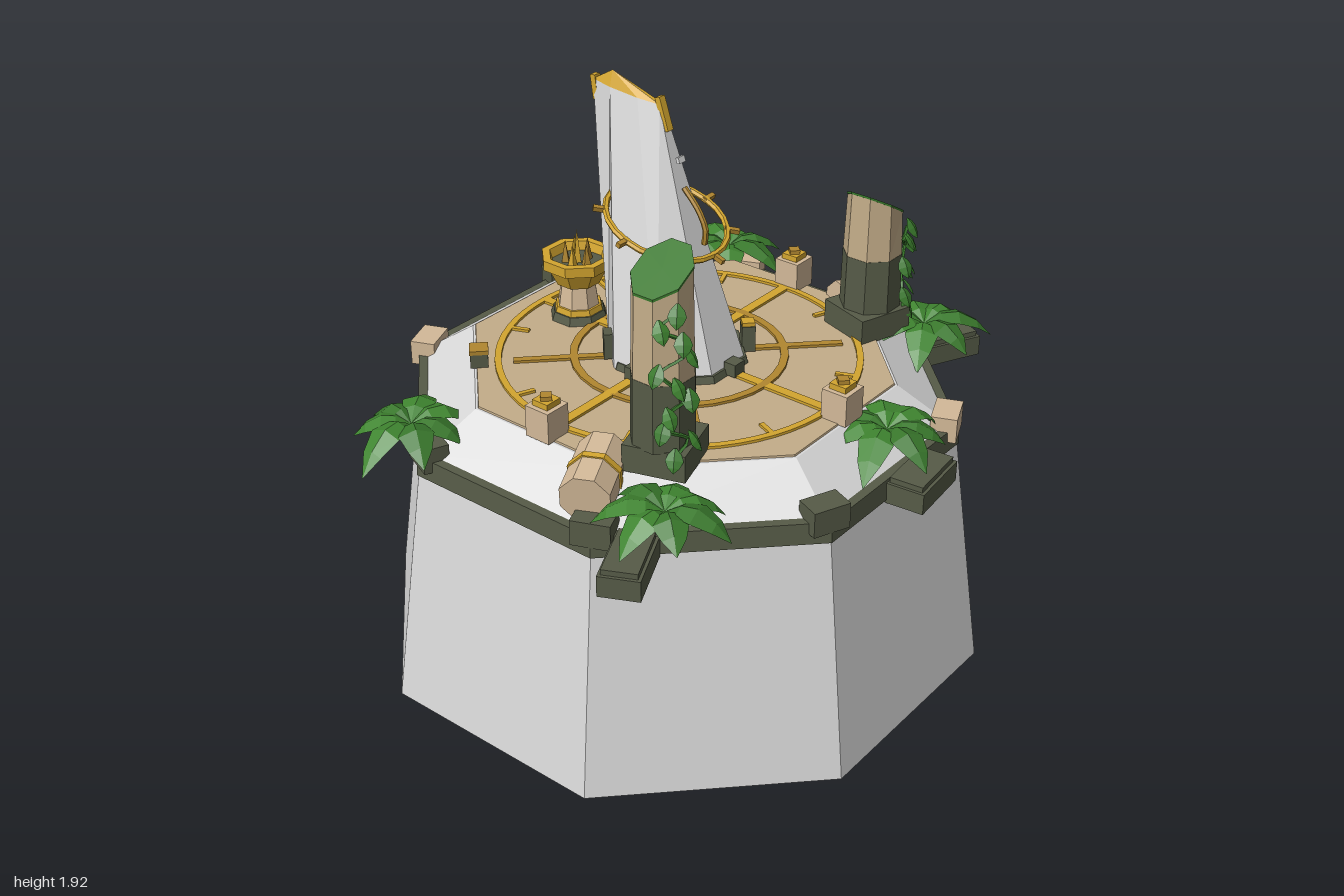
import * as THREE from 'three';

const mat = (name, color, double = false) => {
  const m = new THREE.MeshStandardMaterial({ color, flatShading: true });
  m.name = name;
  if (double) m.side = THREE.DoubleSide;
  return m;
};

export function createModel() {
  const stone = mat('pale stone', 0xd9d9d9);
  const dark = mat('mossy dark stone', 0x565b47);
  const paving = mat('paving sandstone', 0xc4ad89);
  const sand = mat('light sandstone', 0xd3b998);
  const gold = mat('gold', 0xd3a52f);
  const oldGold = mat('dark gold', 0xb18730);
  const green = mat('leaf green', 0x3f8530, true);
  const moss = mat('moss', 0x39782c, true);

  const model = new THREE.Group();
  const root = new THREE.Group();
  root.name = 'sundialMonument';
  root.position.set(0.018, 0, -0.015);
  model.add(root);

  const add = (name, geo, material, x = 0, y = 0, z = 0, ry = 0, parent = root) => {
    const m = new THREE.Mesh(geo, material);
    m.name = name;
    m.position.set(x, y, z);
    m.rotation.y = ry;
    parent.add(m);
    return m;
  };
  const box = (w, h, d) => new THREE.BoxGeometry(w, h, d);
  // Eight-sided drum with flats facing the axes, from y0 to y1
  const oct = (rb, rt, y0, y1) => new THREE.CylinderGeometry(rt, rb, y1 - y0, 8)
    .rotateY(Math.PI / 8).translate(0, (y0 + y1) / 2, 0);
  const polar = (r, a) => [r * Math.sin(a), r * Math.cos(a)];

  // Plinth, rim, slope and paved terrace
  add('plinth', oct(1.045, 0.925, 0, 0.82), [stone, stone, dark]);
  add('rim', oct(0.93, 0.925, 0.82, 0.89), dark);
  add('slope', oct(0.9, 0.722, 0.885, 1.0), stone);
  add('terrace', oct(0.716, 0.712, 0.99, 1.006), paving);

  // Inlaid dial: rings, spokes and hour ticks
  const flatRing = (r, w, n) => {
    const s = new THREE.Shape().absarc(0, 0, r + w / 2, 0, Math.PI * 2);
    s.holes.push(new THREE.Path().absarc(0, 0, r - w / 2, 0, Math.PI * 2, true));
    return new THREE.ExtrudeGeometry(s, { depth: 0.009, bevelEnabled: false, curveSegments: n })
      .rotateX(-Math.PI / 2);
  };
  add('outerRing', flatRing(0.59, 0.022, 32), gold, 0, 1.006);
  add('innerRing', flatRing(0.345, 0.026, 16), oldGold, 0, 1.006);
  for (let i = 0; i < 16; i++) {
    const a = i * Math.PI / 8;
    const [r0, r1, w, m] = i % 4 === 0 ? [0.1, 0.59, 0.034, gold]
      : i % 2 === 0 ? [0.15, 0.54, 0.026, oldGold] : [0.52, 0.58, 0.016, gold];
    const [x, z] = polar((r0 + r1) / 2, a);
    add(i % 2 ? 'hourTick' : 'spoke', box(w, 0.009, r1 - r0), m, x, 1.0105, z, a);
  }

  // Leaning blade: octagon foot narrowing to a thin ridge, with a gold cap
  const foot = [], head = [];
  for (let i = 0; i < 8; i++) {
    const [x, z] = polar(1, Math.PI / 8 + i * Math.PI / 4);
    foot.push([x * 0.228, 1.0, z * 0.238 - 0.01]);
    head.push([x * 0.022, 1.865 - z * 0.012, z * 0.145 - 0.205]);
  }
  const loft = (lower, upper) => {
    const p = [];
    lower.forEach((a, i) => {
      const j = (i + 1) % 8, b = lower[j], c = upper[j], d = upper[i];
      p.push(...a, ...b, ...c, ...a, ...c, ...d);
    });
    const g = new THREE.BufferGeometry();
    g.setAttribute('position', new THREE.Float32BufferAttribute(p, 3));
    g.computeVertexNormals();
    return g;
  };
  add('blade', loft(foot, head), stone);
  add('bladeCap', loft(head, head.map(() => [0, 1.92, -0.265])), gold);
  add('bladeFrontTrim', box(0.026, 0.11, 0.02), gold, 0, 1.825, -0.06).rotation.x = -0.32;
  add('bladeBackTrim', box(0.026, 0.08, 0.02), gold, 0, 1.85, -0.333).rotation.x = -0.14;
  add('bladeMark', box(0.03, 0.02, 0.012), stone, 0, 1.69, 0.005).rotation.x = -0.32;

  // Tilted hoop with pegs, and the pointer on the blade's front
  const hoop = new THREE.Group();
  hoop.name = 'hoop';
  hoop.position.set(0, 1.47, -0.05);
  hoop.rotation.x = 0.34;
  root.add(hoop);
  add('hoopRing', new THREE.TorusGeometry(0.2, 0.011, 6, 24).rotateX(Math.PI / 2), gold, 0, 0, 0, 0, hoop);
  for (let i = 0; i < 8; i++) {
    const a = i * Math.PI / 4, [x, z] = polar(0.215, a);
    add('hoopPeg', box(0.016, 0.016, 0.05), oldGold, x, 0, z, a, hoop);
  }
  const arc = new THREE.CatmullRomCurve3([[1.43, 0.1], [1.48, 0.105], [1.54, 0.075], [1.6, 0.02]]
    .map(([y, z]) => new THREE.Vector3(0, y, z)));
  add('pointer', new THREE.TubeGeometry(arc, 8, 0.01, 6), oldGold);

  // Stones around the blade's foot, gold-capped at the corners
  add('footCollar', oct(0.235, 0.225, 1.0, 1.03), dark);
  for (let i = 0; i < 8; i++) {
    const a = i * Math.PI / 4, [x, z] = polar(0.225, a);
    const h = i % 2 ? 0.09 : 0.045;
    add('footStone', box(0.05, h, 0.045), dark, x, 1.01 + h / 2, z, a);
    if (i === 1 || i === 7) add('footStoneCap', box(0.042, 0.015, 0.042), gold, x, 1.106, z, a);
  }

  // Marker posts around the dial
  for (const a of [0, Math.PI / 2, -Math.PI / 2]) {
    const [x, z] = polar(0.64, a);
    add('post', box(0.092, 0.105, 0.092), sand, x, 1.055, z, a);
    add('postCap', box(0.06, 0.02, 0.06), gold, x, 1.117, z, a);
    add('postGem', box(0.035, 0.018, 0.035), oldGold, x, 1.132, z, a + Math.PI / 4);
  }
  for (const a of [Math.PI * 0.75, -Math.PI * 0.75]) {
    const [x, z] = polar(0.65, a);
    add('rearPost', box(0.058, 0.05, 0.058), dark, x, 1.03, z, a);
    add('rearPostCap', box(0.062, 0.014, 0.062), oldGold, x, 1.06, z, a);
  }

  // Brazier
  const brazier = new THREE.Group();
  brazier.name = 'brazier';
  brazier.position.set(0, 0, -0.435);
  root.add(brazier);
  const part = (name, geo, m) => add(name, geo, m, 0, 0, 0, 0, brazier);
  part('brazierFoot', oct(0.1, 0.09, 1.005, 1.035), dark);
  part('brazierBand', oct(0.085, 0.08, 1.035, 1.055), gold);
  part('brazierStem', oct(0.072, 0.06, 1.055, 1.135), sand);
  const bowl = [[0.05, 1.13], [0.075, 1.135], [0.105, 1.195], [0.125, 1.2], [0.125, 1.235], [0.098, 1.235], [0.085, 1.19]]
    .map(([r, y]) => new THREE.Vector2(r, y));
  part('brazierBowl', new THREE.LatheGeometry(bowl, 8, Math.PI / 8), gold);
  part('brazierCoals', oct(0.088, 0.095, 1.18, 1.205), dark);
  for (let i = 0; i < 6; i++) {
    const [x, z] = polar(i ? 0.04 : 0, i * 1.257), h = i ? 0.085 : 0.125;
    add('flame', new THREE.ConeGeometry(0.018, h, 4), i % 2 ? oldGold : gold, x, 1.2 + h / 2, z, i, brazier);
  }

  // Arched leaf growing along +z, folded along its midrib
  const leafGeo = (len, width, rise, droop) => {
    const p = [], idx = [];
    [[0, 0.15], [0.25, 0.75], [0.5, 1], [0.78, 0.65], [1, 0.02]].forEach(([t, w], i) => {
      const y = len * (rise * t - droop * t * t), h = w * width / 2, z = t * len;
      p.push(-h, y - h * 0.35, z, 0, y, z, h, y - h * 0.35, z);
      if (i) for (const k of [0, 1]) {
        const a = i * 3 - 3 + k;
        idx.push(a, a + 3, a + 1, a + 1, a + 3, a + 4);
      }
    });
    const g = new THREE.BufferGeometry();
    g.setAttribute('position', new THREE.Float32BufferAttribute(p, 3));
    g.setIndex(idx);
    const out = g.toNonIndexed();
    out.computeVertexNormals();
    return out;
  };

  // Leafy plants: x, y, z, first angle
  [[-0.81, 0.96, -0.42, 0.3], [0.82, 0.96, -0.42, 0.9], [-0.73, 0.99, 0.53, 0.2],
    [0.7, 0.99, 0.5, 0.7], [0.06, 0.98, 0.77, 0.5]].forEach(([x, y, z, start], n) => {
    const plant = new THREE.Group();
    plant.name = 'plant';
    plant.position.set(x, y, z);
    root.add(plant);
    for (let i = 0; i < 7; i++) {
      const len = 0.18 + 0.05 * ((i * 3 + n) % 4) / 3;
      add('leaf', leafGeo(len, 0.11, 0.95, 1.15 + 0.15 * (i % 2)), i % 3 ? green : moss,
        0, 0, 0, start + i * Math.PI * 2 / 7, plant);
    }
  });

  // Broken pillars with slanted mossy tops, vines and fallen drums
  const vineLeaf = leafGeo(0.075, 0.055, 0.35, 0.4);
  for (const [side, px, top, split] of [[-1, -0.54, 1.63, 1.31], [1, 0.555, 1.45, 1.28]]) {
    const pillar = new THREE.Group();
    pillar.name = side < 0 ? 'tallPillar' : 'shortPillar';
    pillar.position.set(px, 0, 0.37);
    root.add(pillar);
    const slant = (geo, from) => {
      const p = geo.attributes.position;
      for (let i = 0; i < p.count; i++)
        if (p.getY(i) > from) p.setY(i, p.getY(i) - side * 0.6 * p.getX(i));
      geo.computeVertexNormals();
      return geo;
    };
    const piece = (name, geo, m) => add(name, geo, m, 0, 0, 0, 0, pillar);
    add('pillarPlinth', box(0.2, 0.09, 0.2), dark, -side * 0.012, 1.045, 0, -side * 0.31, pillar);
    piece('pillarFoot', oct(0.102, 0.099, 1.085, split), dark);
    piece('pillarShaft', slant(oct(0.098, 0.092, split, top), top - 0.01), paving);
    piece('pillarMoss', slant(oct(0.094, 0.094, top, top + 0.008), 0), moss);

    // Vine winding up the outer front faces
    const path = [], n = 11;
    for (let i = 0; i < n; i++) {
      const a = side * 0.55 + 0.45 * Math.sin(i * 1.9), y = 1.08 + i * (top - 1.16) / (n - 1);
      const [x, z] = polar(0.108, a);
      path.push(new THREE.Vector3(x, y, z));
      const l = add('vineLeaf', vineLeaf, i % 2 ? green : moss, x, y + 0.03, z, a + (i % 2 ? 0.5 : -0.5), pillar);
      l.rotation.order = 'YXZ';
      l.rotation.x = 0.95;
    }
    piece('vineStem', new THREE.TubeGeometry(new THREE.CatmullRomCurve3(path), 30, 0.006, 4), moss);

    // Fallen drum resting on the slope
    const drum = new THREE.Group();
    drum.name = 'fallenDrum';
    drum.position.set(side * 0.715, 0.99, 0.255);
    drum.rotation.set(0, -side * 0.45, -side * 0.1);
    root.add(drum);
    const lying = (r, l) => oct(r, r, -l / 2, l / 2).rotateZ(Math.PI / 2);
    add('drumBody', lying(0.083, 0.23), sand, 0, 0, 0, 0, drum);
    add('drumBand', lying(0.088, 0.022), gold, 0, 0, 0, 0, drum);
  }

  // Loose blocks hanging over the rim, each with a bevelled top
  for (const [x, z, ry] of [[-0.845, 0.49, 0.45], [0.845, 0.49, -0.45], [0.055, 0.905, 0.1]]) {
    add('rimBlock', box(0.23, 0.07, 0.13), dark, x, 0.845, z, ry);
    add('rimBlockTop', box(0.21, 0.02, 0.11), dark, x, 0.888, z, ry);
  }

  // Corner clamps on the rim
  for (let i = 0; i < 8; i++) {
    const a = Math.PI / 8 + i * Math.PI / 4, [x, z] = polar(0.885, a);
    add('cornerClamp', box(0.125, 0.085, 0.085), [0, 2, 4].includes(i) ? sand : dark, x, 0.897, z, a);
  }

  return model;
}
